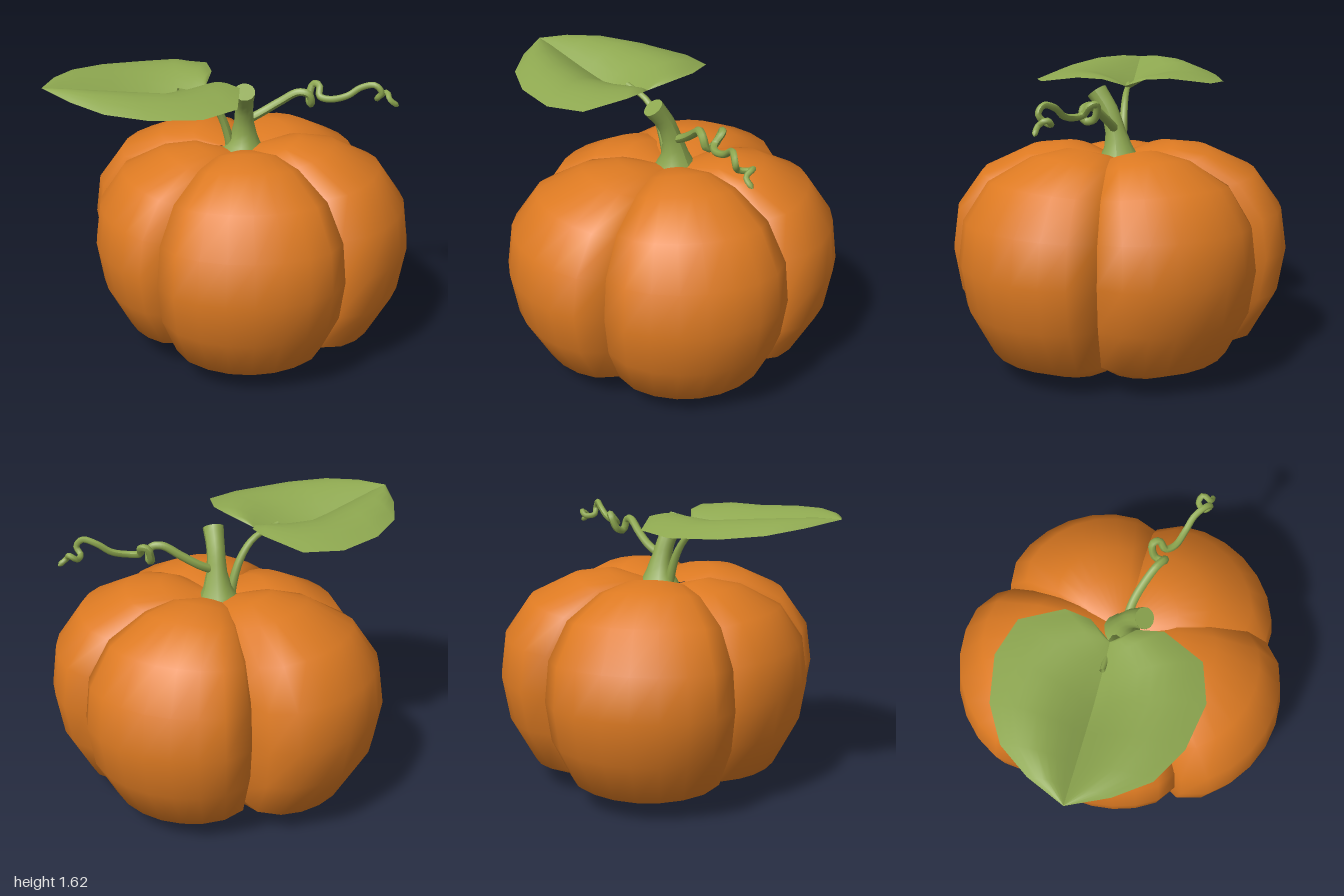
import * as THREE from 'three';

const V = (p) => new THREE.Vector3(...p);

// Smooth surface grid; the front faces along du x dv
function grid(nu, nv, f) {
  const pos = [], idx = [];
  for (let i = 0; i <= nu; i++) for (let j = 0; j <= nv; j++) pos.push(...f(i, j));
  for (let i = 0; i < nu; i++) for (let j = 0; j < nv; j++) {
    const a = i * (nv + 1) + j, b = a + nv + 1;
    idx.push(a, b, a + 1, b, b + 1, a + 1);
  }
  const g = new THREE.BufferGeometry();
  g.setAttribute('position', new THREE.Float32BufferAttribute(pos, 3));
  g.setIndex(idx);
  g.computeVertexNormals();
  return g;
}

// Tube along a curve whose radius is given by rad(t)
function taperedTube(points, rad, segs, sides) {
  const curve = new THREE.CatmullRomCurve3(points.map(V));
  const g = new THREE.TubeGeometry(curve, segs, 1, sides, false);
  const p = g.attributes.position, v = new THREE.Vector3();
  for (let i = 0; i <= segs; i++) {
    const c = curve.getPointAt(i / segs), r = rad(i / segs);
    for (let j = 0; j <= sides; j++) {
      const k = i * (sides + 1) + j;
      v.fromBufferAttribute(p, k).sub(c).multiplyScalar(r).add(c);
      p.setXYZ(k, v.x, v.y, v.z);
    }
  }
  g.computeVertexNormals();
  return { g, curve };
}

export function createModel() {
  const model = new THREE.Group();
  const orange = new THREE.MeshStandardMaterial({ color: 0xdd7a22 });
  orange.name = 'orange skin';
  const green = new THREE.MeshStandardMaterial({ color: 0x8ea850, side: THREE.DoubleSide });
  green.name = 'leaf green';
  const add = (name, geo, mat) => {
    const m = new THREE.Mesh(geo, mat);
    m.name = name;
    model.add(m);
    return m;
  };

  // Five overlapping lobes around the axis
  const CX = 0.12, MID = 0.63;
  const profile = [[0, 0.07], [0.1, 0.045], [0.3, 0], [0.54, 0.01], [0.81, 0.12], [0.957, 0.38], [1, 0.63],
    [0.965, 0.87], [0.81, 1.08], [0.54, 1.205], [0.33, 1.235], [0.15, 1.19], [0, 1.15]];
  // centre angle, radius, height scale, side drop
  const lobes = [[36, 0.945, 1, 0.07], [108, 0.955, 0.98, 0.07], [180, 0.86, 0.94, 0.03],
    [246, 0.985, 0.99, 0.08], [324, 0.93, 0.99, 0.07]];
  const N = 10;
  lobes.forEach(([deg, R, h, drop], n) => {
    add('lobe' + (n + 1), grid(profile.length - 1, N, (i, j) => {
      const t = (j / N - 0.5) * 2.5;
      const a = THREE.MathUtils.degToRad(deg + t * 36);
      const [pr, py] = profile[i];
      const r = pr * (R - drop * t * t - 0.04 * t ** 8);
      const dip = 1 - 0.07 * t * t * Math.min(1, pr / 0.28);
      return [CX + r * Math.cos(a), MID + (py - MID) * h * dip, r * Math.sin(a)];
    }), orange);
  });

  // Blossom scar underneath
  const scar = add('blossomScar', new THREE.CylinderGeometry(0.06, 0.06, 0.04, 10), green);
  scar.position.set(CX, 0.055, 0);

  // Main stem, flared at the foot, with a cut end
  const stemRadii = [0.12, 0.078, 0.057, 0.051, 0.052, 0.058];
  const stem = taperedTube(
    [[0.12, 1.13, -0.02], [0.122, 1.2, -0.015], [0.115, 1.31, 0.005], [0.1, 1.41, 0.04], [0.075, 1.51, 0.11]],
    (t) => {
      const k = Math.min(4, Math.floor(t * 5));
      return THREE.MathUtils.lerp(stemRadii[k], stemRadii[k + 1], t * 5 - k);
    }, 10, 12);
  add('stem', stem.g, green);
  const cut = add('stemCut', new THREE.CircleGeometry(0.058, 12), green);
  cut.position.copy(stem.curve.getPointAt(1));
  cut.quaternion.setFromUnitVectors(V([0, 0, 1]), stem.curve.getTangentAt(1));

  // Leaf stalk
  add('leafStalk', taperedTube(
    [[0.05, 1.13, -0.03], [0.03, 1.23, -0.03], [-0.02, 1.36, -0.03], [-0.1, 1.455, -0.03], [-0.26, 1.515, -0.03]],
    (t) => 0.028 - 0.014 * t, 14, 8).g, green);

  // Curling tendril
  add('tendril', taperedTube(
    [[0.12, 1.3, 0], [0.22, 1.35, 0.015], [0.31, 1.41, 0.05], [0.4, 1.47, 0.1], [0.45, 1.46, 0.13],
      [0.47, 1.4, 0.12], [0.48, 1.41, 0.07], [0.51, 1.49, 0.05], [0.535, 1.49, 0.08], [0.52, 1.44, 0.12],
      [0.56, 1.43, 0.165], [0.65, 1.45, 0.2], [0.72, 1.5, 0.23], [0.78, 1.52, 0.28], [0.81, 1.48, 0.3],
      [0.8, 1.44, 0.27], [0.84, 1.435, 0.23], [0.875, 1.46, 0.245], [0.87, 1.43, 0.29], [0.92, 1.39, 0.3]],
    (t) => (t > 0.99 ? 0.004 : 0.025 - 0.01 * t), 90, 7).g, green);

  // Heart-shaped leaf: two humped halves meeting in a valley
  // per row: midrib x, midrib y, edge x, edge half-width, edge y
  const rows = [[-1, 1.61, -1, 0, 1.61], [-0.9, 1.59, -0.9, 0.21, 1.585], [-0.77, 1.555, -0.77, 0.385, 1.56],
    [-0.6, 1.51, -0.57, 0.5, 1.54], [-0.44, 1.475, -0.31, 0.55, 1.53], [-0.3, 1.48, -0.1, 0.485, 1.54],
    [-0.2, 1.495, 0, 0.26, 1.575], [-0.14, 1.51, -0.02, 0.12, 1.565], [-0.1, 1.52, -0.1, 0, 1.52]];
  const M = 8;
  [1, -1].forEach((s) => {
    add(s > 0 ? 'leafFrontHalf' : 'leafBackHalf', grid(rows.length - 1, M, (i, j) => {
      const v = s > 0 ? 1 - j / M : j / M;
      const [mx, my, ex, w, ey] = rows[i];
      const hump = 0.085 * Math.min(1, w / 0.5) * Math.sin(Math.PI * v);
      return [mx + (ex - mx) * v, my + (ey - my) * v + hump, -0.03 + s * w * v];
    }), green);
  });

  return model;
}
